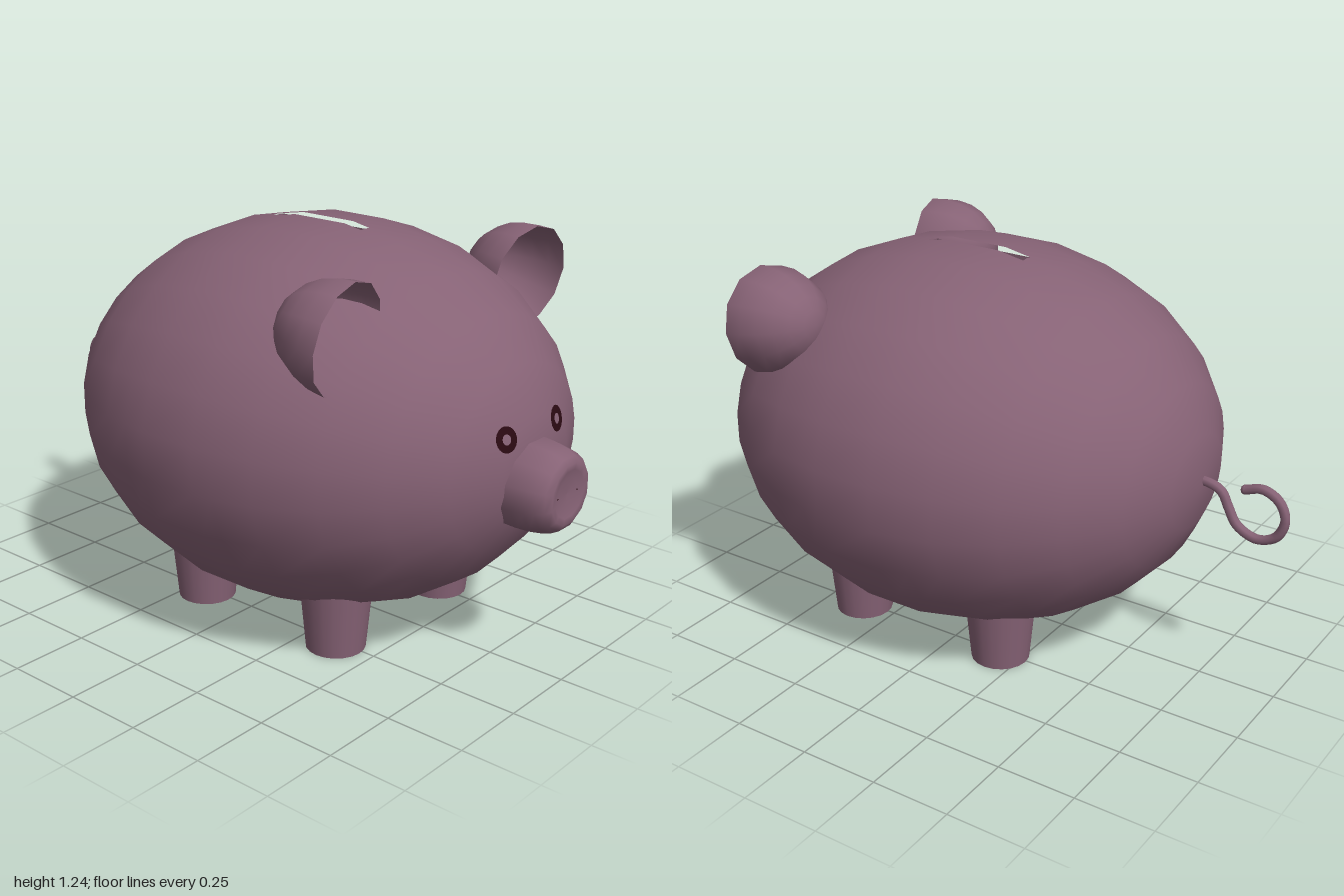
import * as THREE from 'three';

const skin = new THREE.MeshStandardMaterial({ color: 0x866275 });
skin.name = 'dusky pink';
const skinShell = new THREE.MeshStandardMaterial({ color: 0x866275, side: THREE.DoubleSide });
skinShell.name = 'dusky pink shell';
const dark = new THREE.MeshStandardMaterial({ color: 0x2a0a12 });
dark.name = 'dark eye';

const CENTER = new THREE.Vector3(0, 0.645, 0.085);
const RADII = new THREE.Vector3(0.695, 0.6, 0.81);
const SIDES = 26, RINGS = 13;

function add(parent, name, geometry, material, x = 0, y = 0, z = 0) {
  const mesh = new THREE.Mesh(geometry, material);
  mesh.name = name;
  mesh.position.set(x, y, z);
  parent.add(mesh);
  return mesh;
}

// Point on the faceted ellipsoid; u runs round the z axis from the top, v from nose to tail
function bodyPoint(u, v) {
  const corner = (i, j) => {
    const a = (i / SIDES) * Math.PI * 2, t = (j / RINGS) * Math.PI;
    return new THREE.Vector3(Math.sin(t) * Math.sin(a), Math.sin(t) * Math.cos(a), Math.cos(t))
      .multiply(RADII);
  };
  const i = Math.floor(u), j = Math.floor(v);
  const near = corner(i, j).lerp(corner(i + 1, j), u - i);
  const far = corner(i, j + 1).lerp(corner(i + 1, j + 1), u - i);
  return near.lerp(far, v - j);
}

// Ellipsoid body with a slot left open along the top
function bodyGeometry(slotU, v0, v1) {
  const us = [0, slotU], vs = [];
  for (let i = 1; i < SIDES; i++) us.push(i);
  us.push(SIDES - slotU, SIDES);
  for (let j = 0; j <= RINGS; j++) vs.push(j);
  vs.push(v0, v1);
  vs.sort((a, b) => a - b);

  const positions = [], normals = [], index = [];
  for (const v of vs) {
    for (const u of us) {
      const p = bodyPoint(u, v);
      const n = p.clone().divide(RADII).divide(RADII).normalize();
      positions.push(...p.add(CENTER).toArray());
      normals.push(...n.toArray());
    }
  }
  const w = us.length;
  for (let j = 0; j < vs.length - 1; j++) {
    for (let i = 0; i < w - 1; i++) {
      const inSlot = (i === 0 || i === w - 2) && vs[j] >= v0 && vs[j + 1] <= v1;
      if (inSlot) continue;
      const a = j * w + i, b = a + 1, c = a + w, d = c + 1;
      index.push(a, b, c, b, d, c);
    }
  }
  const g = new THREE.BufferGeometry();
  g.setAttribute('position', new THREE.Float32BufferAttribute(positions, 3));
  g.setAttribute('normal', new THREE.Float32BufferAttribute(normals, 3));
  g.setIndex(index);
  return g;
}

// Walls and floor of the coin slot
function buildSlot(group, halfWidth, zBack, zFront) {
  const floorY = 1.12, length = zFront - zBack, mid = (zFront + zBack) / 2;
  const height = 1.222 - floorY, y = floorY + height / 2;
  const slot = new THREE.Group();
  slot.name = 'coinSlot';
  for (const s of [-1, 1]) {
    add(slot, 'slotSide', new THREE.PlaneGeometry(length, height), skinShell, s * halfWidth, y, mid)
      .rotation.y = -s * Math.PI / 2;
    add(slot, 'slotEnd', new THREE.PlaneGeometry(halfWidth * 2, height), skinShell, 0, y,
      s > 0 ? zFront : zBack);
  }
  add(slot, 'slotFloor', new THREE.PlaneGeometry(halfWidth * 2, length), skinShell, 0, floorY, mid)
    .rotation.x = -Math.PI / 2;
  group.add(slot);
}

// Half-dome ear, open to the front, with its rim turned inwards and down
function earGeometry(side) {
  const g = new THREE.SphereGeometry(1, 12, 6, 0, Math.PI * 2, 0, Math.PI / 2);
  g.rotateX(-Math.PI / 2);
  g.scale(0.168, 0.166, 0.215);
  g.rotateX(0.14);
  g.rotateY(-0.12 * side);
  return g;
}

// Flat ring moulded onto the curve of the face
function eyeGeometry(x, y) {
  const g = new THREE.RingGeometry(0.015, 0.037, 20, 2);
  g.translate(x, y, 0);
  const p = g.attributes.position;
  for (let i = 0; i < p.count; i++) {
    const dx = p.getX(i) / RADII.x, dy = (p.getY(i) - CENTER.y) / RADII.y;
    p.setZ(i, CENTER.z + RADII.z * Math.sqrt(1 - dx * dx - dy * dy) + 0.002);
  }
  g.computeVertexNormals();
  return g;
}

export function createModel() {
  const pig = new THREE.Group();
  pig.name = 'piggyBank';

  // Body and coin slot
  add(pig, 'body', bodyGeometry(0.12, 5.665, 7.467), skin);
  buildSlot(pig, 0.02, -0.1, 0.245);

  // Ears and legs
  for (const side of [-1, 1]) {
    const label = side > 0 ? 'left' : 'right';
    add(pig, label + 'Ear', earGeometry(side), skinShell, side * 0.442 + 0.01, 1.041, 0.535);
    for (const [name, z] of [['Front', 0.365], ['Back', -0.18]]) {
      add(pig, label + name + 'Leg', new THREE.CylinderGeometry(0.12, 0.092, 0.3, 20), skin,
        side * 0.262 - 0.004, 0.15, z);
    }
  }

  // Snout, slightly dished at the front
  const snoutProfile = [[0.143, -0.05], [0.142, 0.01], [0.136, 0.05], [0.128, 0.08], [0.114, 0.105],
    [0.095, 0.117], [0.075, 0.115], [0.05, 0.108], [0, 0.106]].map(([r, h]) => new THREE.Vector2(r, h));
  const snout = new THREE.LatheGeometry(snoutProfile, 12, Math.PI / 12);
  snout.rotateX(Math.PI / 2);
  snout.scale(1, 0.96, 1);
  add(pig, 'snout', snout, skin, -0.015, 0.59, 0.883);

  // Nostrils
  for (const s of [-1, 1]) {
    add(pig, 'nostril', new THREE.CircleGeometry(0.003, 8), dark, -0.02 + s * 0.05, 0.59, 0.994);
  }

  // Ring eyes lying on the face
  for (const x of [-0.142, 0.098]) add(pig, 'eye', eyeGeometry(x, 0.755), dark);

  // Curly tail
  const tailPath = [[0.645, -0.68], [0.648, -0.735], [0.63, -0.78], [0.585, -0.805], [0.535, -0.835],
    [0.507, -0.9], [0.53, -0.96], [0.59, -0.985], [0.645, -0.963], [0.671, -0.91], [0.656, -0.855]];
  const curve = new THREE.CatmullRomCurve3(tailPath.map(([y, z]) => new THREE.Vector3(-0.01, y, z)));
  add(pig, 'tail', new THREE.TubeGeometry(curve, 40, 0.015, 8), skin);
  add(pig, 'tailTip', new THREE.SphereGeometry(0.015, 8, 6), skin, -0.01, 0.656, -0.855);

  return pig;
}
